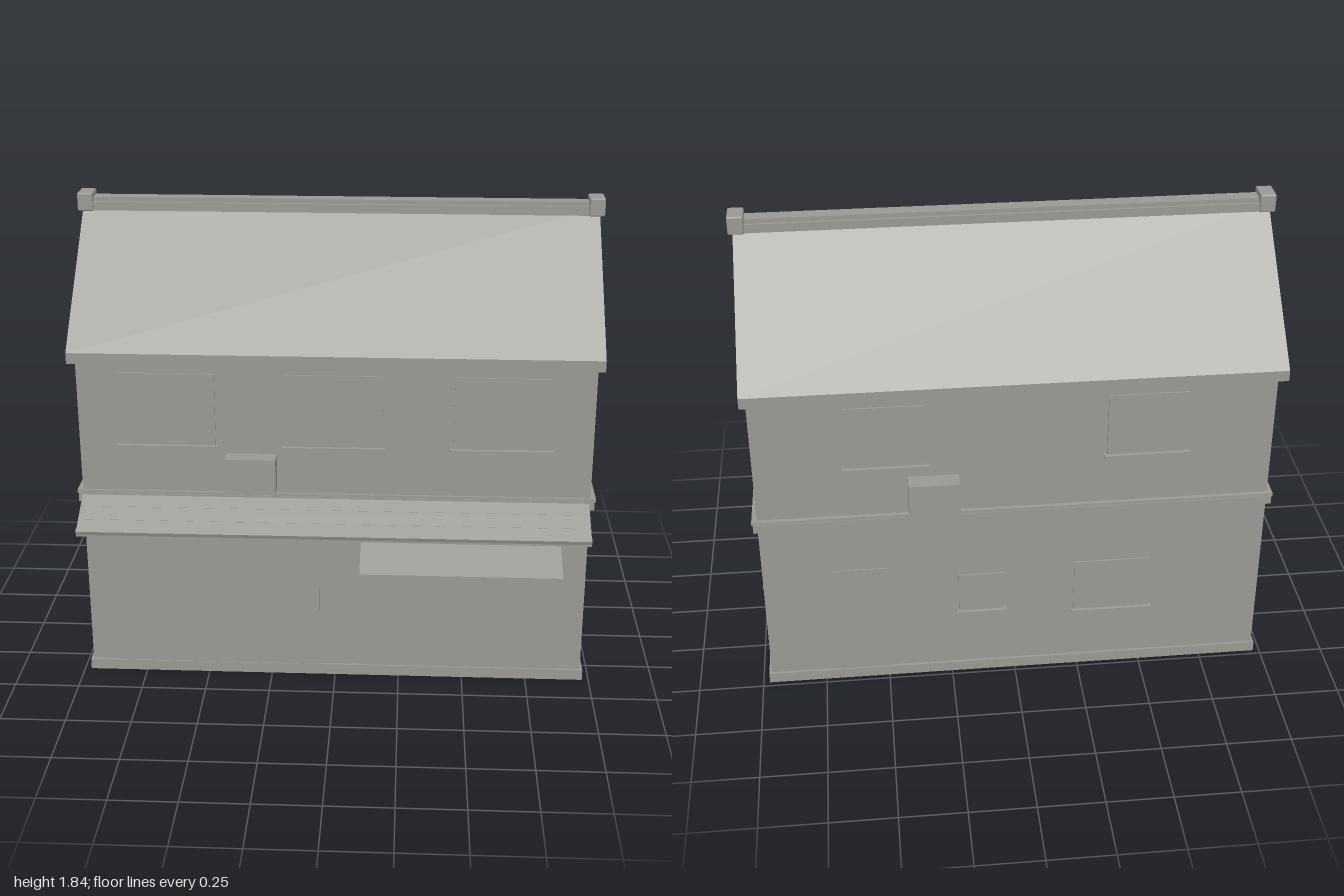
import * as THREE from 'three';
import { RoundedBoxGeometry } from 'three/addons/geometries/RoundedBoxGeometry.js';

export function createModel() {
  const model = new THREE.Group();
  model.name = 'townHouse';
  const grey = new THREE.MeshStandardMaterial({ color: 0x9a9a94 });
  grey.name = 'plainGrey';

  const add = (name, geometry) => {
    const mesh = new THREE.Mesh(geometry, grey);
    mesh.name = name;
    model.add(mesh);
    return mesh;
  };

  // Box given by its limits on each axis
  const block = (name, x0, x1, y0, y1, z0, z1) =>
    add(name, new THREE.BoxGeometry(x1 - x0, y1 - y0, z1 - z0)
      .translate((x0 + x1) / 2, (y0 + y1) / 2, (z0 + z1) / 2));

  // Outline of [z, y] points swept along x
  const sweep = (name, points, x0, x1) => {
    const shape = new THREE.Shape(points.map(([z, y]) => new THREE.Vector2(z, y)));
    const geometry = new THREE.ExtrudeGeometry(shape, { depth: x1 - x0, bevelEnabled: false });
    return add(name, geometry.rotateY(-Math.PI / 2).translate(x1, 0, 0));
  };

  const W = 0.965, FRONT = 0.353, BACK = -0.47, RIDGE = -0.06;

  // Walls with gable ends
  sweep('walls', [[BACK, 0.02], [FRONT, 0.02], [FRONT, 1.38], [RIDGE, 1.77], [BACK, 1.38]], -W, W);

  // Plinth frame, open underneath
  const frame = (x, z0, z1, Type, target) => {
    target.moveTo(-x, z0);
    target.lineTo(x, z0);
    target.lineTo(x, z1);
    target.lineTo(-x, z1);
    target.closePath();
    return target;
  };
  const plinth = frame(0.975, -0.363, 0.48, null, new THREE.Shape());
  plinth.holes.push(frame(0.91, -0.3, 0.415, null, new THREE.Path()));
  add('plinth', new THREE.ExtrudeGeometry(plinth, { depth: 0.043, bevelEnabled: false })
    .rotateX(-Math.PI / 2));

  // Floor band
  block('floorBand', -0.98, 0.98, 0.735, 0.77, -0.49, 0.366);
  block('floorBandCap', -0.985, 0.985, 0.768, 0.78, -0.487, 0.363);

  // Roof shell with dropped eaves
  sweep('roof', [
    [0.42, 1.35], [RIDGE, 1.797], [-0.54, 1.35], [-0.54, 1.308], [-0.53, 1.308],
    [-0.53, 1.335], [RIDGE, 1.768], [0.41, 1.335], [0.41, 1.308], [0.42, 1.308],
  ], -0.983, 0.983);

  // Ridge beam and end blocks
  block('ridgeBeam', -0.95, 0.95, 1.775, 1.808, RIDGE - 0.037, RIDGE + 0.037);
  block('ridgeCap', -0.95, 0.95, 1.808, 1.825, RIDGE - 0.027, RIDGE + 0.027);
  for (const s of [-1, 1]) {
    add('ridgeEnd', new RoundedBoxGeometry(0.06, 0.07, 0.09, 1, 0.006)
      .translate(s * 0.97, 1.808, RIDGE));
  }

  // Thin window plate with a sill, on the front or back (side = +1 or -1)
  const longWindow = (x0, x1, y0, y1, side) => {
    const wall = side > 0 ? FRONT : BACK;
    const span = d => side > 0 ? [wall - 0.01, wall + d] : [wall - d, wall + 0.01];
    block('window', x0 + 0.012, x1 - 0.012, y0, y1, ...span(0.006));
    block('windowSill', x0, x1, y0 - 0.009, y0 + 0.002, ...span(0.02));
  };
  for (const x of [-0.63, -0.005, 0.625]) longWindow(x - 0.193, x + 0.193, 0.97, 1.255, 1);
  for (const x of [-0.49, 0.48]) longWindow(x - 0.16, x + 0.16, 0.99, 1.245, -1);
  longWindow(0.03, 0.23, 0.298, 0.47, -1);
  longWindow(-0.54, -0.22, 0.27, 0.5, -1);
  block('backDoor', 0.49, 0.7, 0.043, 0.525, BACK - 0.005, BACK + 0.01);

  // Windows in the gable ends
  const sideWindow = (s, z0, z1, y0, y1) => {
    const span = d => s > 0 ? [W - 0.01, W + d] : [-W - d, -W + 0.01];
    block('sideWindow', ...span(0.006), y0, y1, z0 + 0.012, z1 - 0.012);
    block('sideWindowSill', ...span(0.022), y0 - 0.01, y0 + 0.002, z0, z1);
  };
  for (const s of [-1, 1]) sideWindow(s, -0.07, 0.1, 1.015, 1.185);
  sideWindow(1, -0.25, -0.06, 0.298, 0.465);
  sideWindow(-1, -0.17, 0.07, 0.298, 0.49);

  // Wall units on front and back
  block('frontUnit', -0.41, -0.22, 0.803, 0.938, FRONT - 0.01, 0.42);
  block('backUnit', 0.21, 0.4, 0.803, 0.938, -0.54, BACK + 0.01);

  // Long canopy of three overlapping slats
  for (let i = 0; i < 3; i++) {
    const z = 0.353 + i * 0.055, y = 0.77 - i * 0.03;
    sweep('canopySlat', [[z, y - 0.017], [z + 0.062, y - 0.05], [z + 0.062, y - 0.033], [z, y]], -W, 0.96);
  }
  sweep('canopyEdge', [[0.515, 0.662], [0.525, 0.667], [0.53, 0.682], [0.515, 0.69]], -W, 0.96);
  block('canopyRail', -W, 0.96, 0.66, 0.715, FRONT - 0.01, 0.373);
  for (const x of [-0.955, -0.48, 0, 0.48, 0.95]) {
    sweep('canopyBrace', [[0.35, 0.69], [0.35, 0.681], [0.51, 0.663], [0.51, 0.672]], x - 0.005, x + 0.005);
  }

  // Shutter with its roller box
  block('shutter', -0.86, -0.06, 0.043, 0.61, FRONT - 0.01, FRONT + 0.007);
  block('shutterBox', -0.865, -0.055, 0.602, 0.655, FRONT - 0.01, 0.4);

  // Small sloping awning with valance and struts
  sweep('awning', [[0.35, 0.6], [0.535, 0.53], [0.547, 0.537], [0.35, 0.61]], 0.1, 0.86);
  block('awningValance', 0.1, 0.86, 0.49, 0.537, 0.541, 0.547);
  for (const x of [0.106, 0.854]) {
    sweep('awningStrut', [[0.35, 0.461], [0.35, 0.453], [0.542, 0.527], [0.542, 0.535]], x - 0.005, x + 0.005);
  }
  block('shopFront', 0.11, 0.85, 0.043, 0.6, FRONT - 0.01, FRONT + 0.003);

  return model;
}
